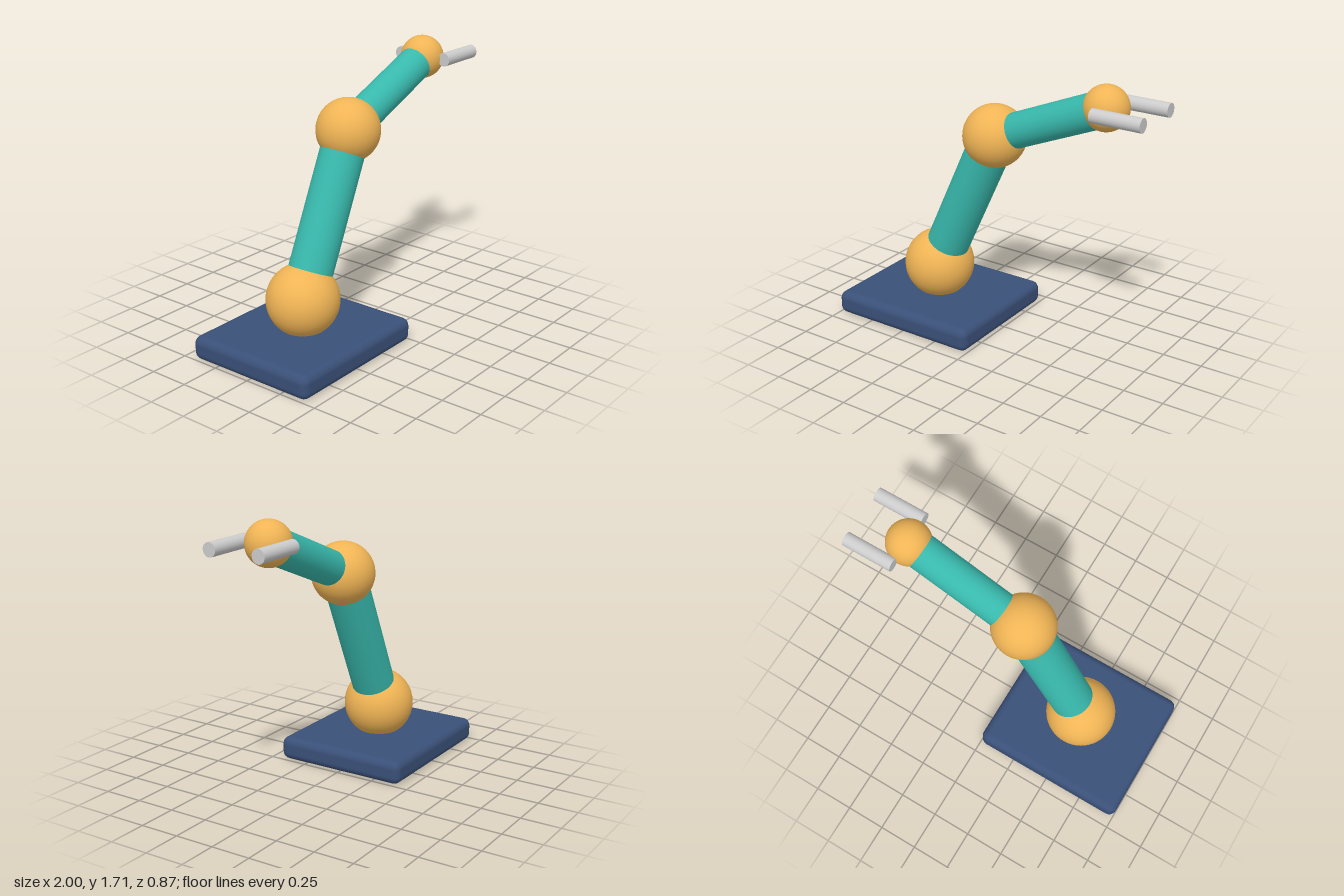
import * as THREE from 'three';
import { RoundedBoxGeometry } from 'three/addons/geometries/RoundedBoxGeometry.js';

const paint = (color) => new THREE.MeshStandardMaterial({ color });

export function createModel() {
  const model = new THREE.Group();
  const navy = paint(0x3a5078), amber = paint(0xf0b455), teal = paint(0x38b8ac), steel = paint(0xcccccc);

  const add = (name, geometry, material, position) => {
    const mesh = new THREE.Mesh(geometry, material);
    mesh.name = name;
    mesh.position.copy(position);
    model.add(mesh);
    return mesh;
  };
  const joint = (name, center, radius) =>
    add(name, new THREE.SphereGeometry(radius, 48, 32), amber, center);

  // Cylinder spanning two points
  const rod = (name, a, b, radius, material) => {
    const axis = b.clone().sub(a);
    const mesh = add(name, new THREE.CylinderGeometry(radius, radius, axis.length(), 40),
      material, a.clone().lerp(b, 0.5));
    mesh.quaternion.setFromUnitVectors(new THREE.Vector3(0, 1, 0), axis.normalize());
  };

  const shoulder = new THREE.Vector3(-0.5, 0.328, 0);
  const elbow = new THREE.Vector3(-0.066, 1.27, 0);
  const wrist = new THREE.Vector3(0.685, 1.578, 0);

  // Base plate
  add('base', new RoundedBoxGeometry(1, 0.15, 0.87, 4, 0.05), navy, new THREE.Vector3(-0.5, 0.075, 0));

  // Ball joints
  joint('shoulderJoint', shoulder, 0.222);
  joint('elbowJoint', elbow, 0.195);
  joint('wristJoint', wrist, 0.135);

  // Arm segments
  rod('upperArm', shoulder, elbow, 0.136, teal);
  rod('forearm', elbow, wrist, 0.108, teal);

  // Gripper fingers, mirrored across z
  for (const [name, side] of [['rightFinger', 1], ['leftFinger', -1]]) {
    const start = new THREE.Vector3(0.685, 1.578, 0.162 * side);
    rod(name, start, start.clone().setX(1), 0.042, steel);
  }

  return model;
}
